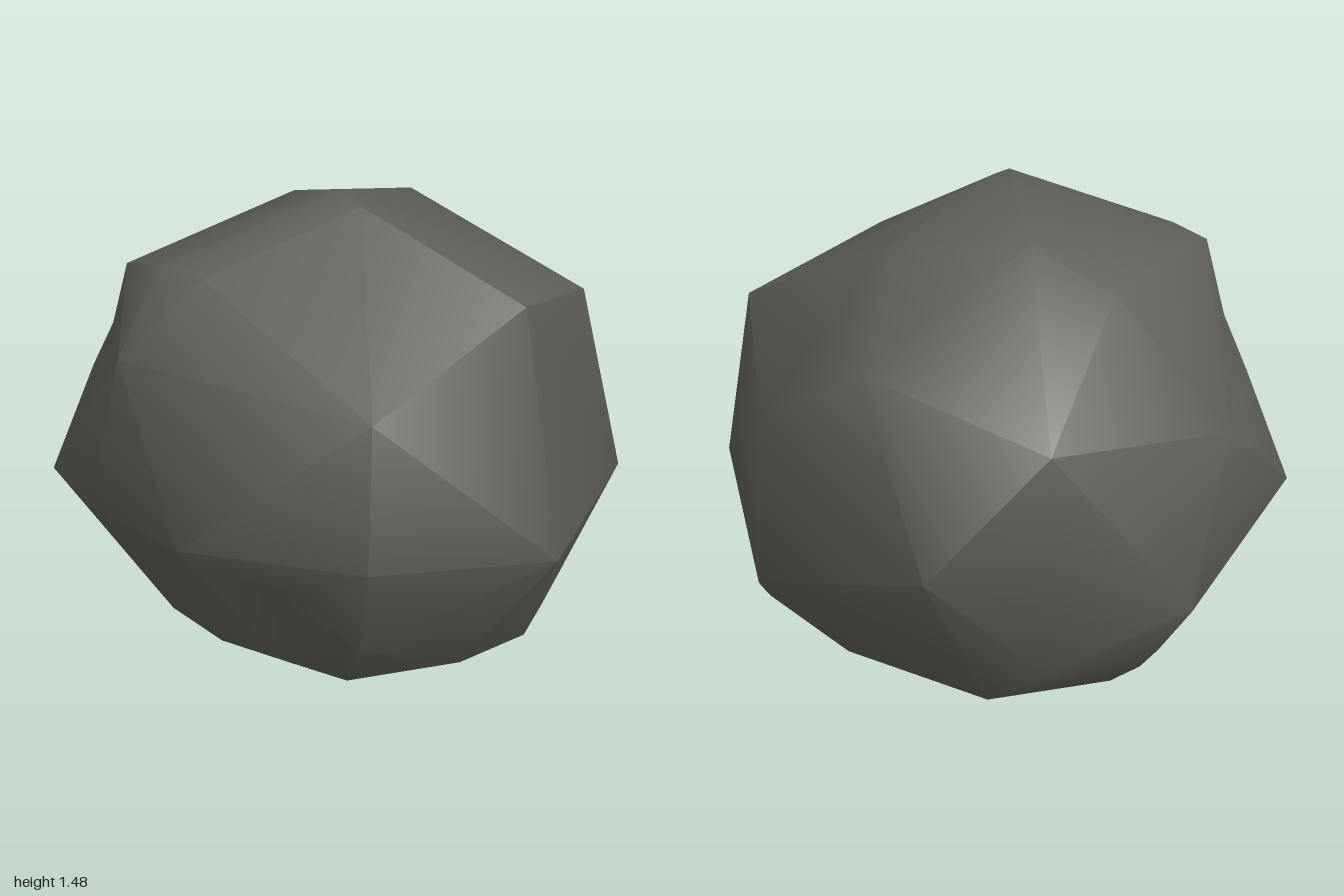
import * as THREE from 'three';
import { ConvexGeometry } from 'three/addons/geometries/ConvexGeometry.js';
import { toCreasedNormals } from 'three/addons/utils/BufferGeometryUtils.js';

const CENTRE = new THREE.Vector3(0, 0.7, 0);

// Outline of the flat underside: x, z
const BASE = [
  [0.72, -0.2], [0.6, -0.42], [0.39, -0.61], [-0.06, -0.7], [-0.24, -0.69], [-0.7, -0.4], [-0.8, 0],
  [-0.73, 0.24], [-0.5, 0.53], [-0.2, 0.62], [0.11, 0.62], [0.38, 0.53], [0.58, 0.46], [0.72, 0.1],
];

// Corners of the widest part: x, y, z
const BELLY = [
  [1, 0.43, -0.03], [0.87, 0.21, -0.1], [0.8, 0.48, 0.56], [0.71, 0.19, 0.52], [0.52, 0.36, 0.69],
  [0.24, 0.45, 0.86], [-0.12, 0.51, 0.96], [-0.62, 0.47, 0.84], [-1, 0.34, 0.16], [-0.85, 0.07, 0.08],
  [-0.9, 0.2, -0.31], [-0.8, 0.56, -0.66], [-0.17, 0.32, -0.96], [-0.15, 0.25, -0.92], [0.59, 0.45, -0.81],
];

// Corners and shallow hollows of the shoulders
const SHOULDERS = [
  [0.78, 1.18, -0.08], [0.72, 0.9, 0.48], [-0.05, 1, 0.87], [-0.23, 1.26, 0.72], [-0.05, 1.28, 0.7],
  [0.06, 1.24, 0.62], [-0.38, 1.03, 0.7], [-0.5, 0.86, 0.72], [-0.88, 0.86, 0.35], [-0.9, 0.93, -0.3],
  [-0.6, 1.26, 0.1], [-0.43, 1.09, -0.68], [-0.16, 0.9, -0.91], [0.45, 1.09, -0.73],
];

// Corners of the crown
const CROWN = [[0.17, 1.49, 0.15], [0.28, 1.45, 0.16], [-0.42, 1.4, -0.1], [-0.2, 1.4, -0.48]];

// Joins the corners on a rounder shape, then moves them back, so that hollows are kept
function rockGeometry(corners) {
  const rounded = corners.map((p) => {
    const v = new THREE.Vector3(...p).sub(CENTRE);
    return v.divideScalar(Math.sqrt(v.length()));
  });
  const geometry = new ConvexGeometry(rounded);
  const position = geometry.attributes.position;
  const v = new THREE.Vector3();
  for (let i = 0; i < position.count; i++) {
    v.fromBufferAttribute(position, i);
    v.multiplyScalar(v.length()).add(CENTRE);
    position.setXYZ(i, v.x, v.y, v.z);
  }
  return toCreasedNormals(geometry, 0.8);
}

export function createModel() {
  const stone = new THREE.MeshStandardMaterial({ color: 0x5b5b55 });
  stone.name = 'darkStone';

  const underside = BASE.map(([x, z]) => [x, 0.01, z]);
  const boulder = new THREE.Mesh(rockGeometry([...underside, ...BELLY, ...SHOULDERS, ...CROWN]), stone);
  boulder.name = 'boulder';

  const model = new THREE.Group();
  model.name = 'rock';
  model.add(boulder);
  return model;
}
